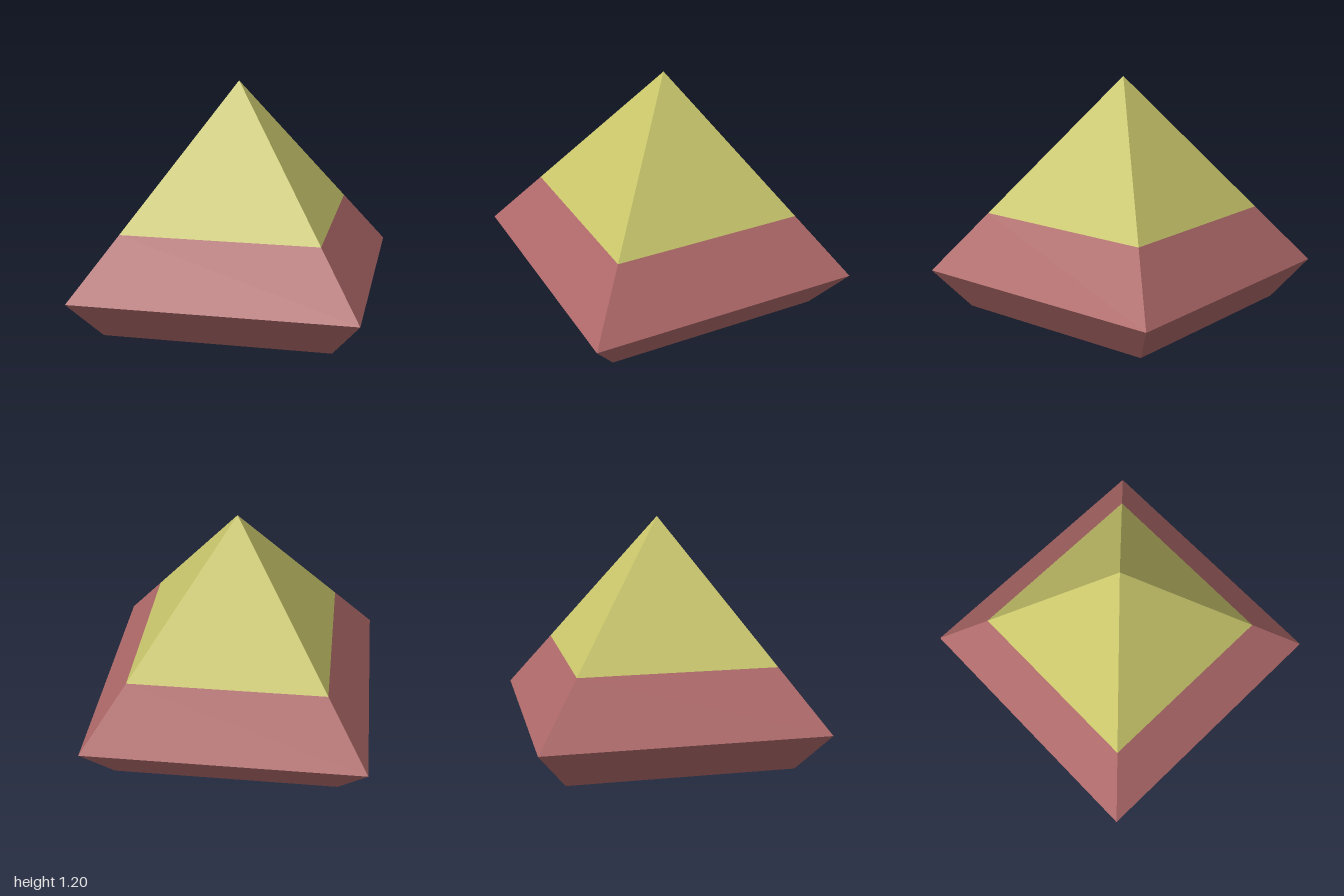
import * as THREE from 'three';

// Four-sided solid of revolution with its corners on the x and z axes
function band(name, color, profile) {
  const points = profile.map(([r, y]) => new THREE.Vector2(r, y));
  const material = new THREE.MeshStandardMaterial({ color, flatShading: true });
  const mesh = new THREE.Mesh(new THREE.LatheGeometry(points, 4), material);
  mesh.name = name;
  return mesh;
}

export function createModel() {
  const group = new THREE.Group();
  group.name = 'pyramid';
  group.add(
    // Grey square inset in the underside
    band('basePanel', 0xcccccc, [[0, 0], [0.6, 0]]),
    // Underside border, flared foot and lower slope
    band('base', 0xaf6969, [[0.6, 0], [0.8, 0], [1, 0.2], [0.7, 0.5]]),
    // Pointed top
    band('cap', 0xc9c66b, [[0.7, 0.5], [0, 1.2]]),
  );
  return group;
}
